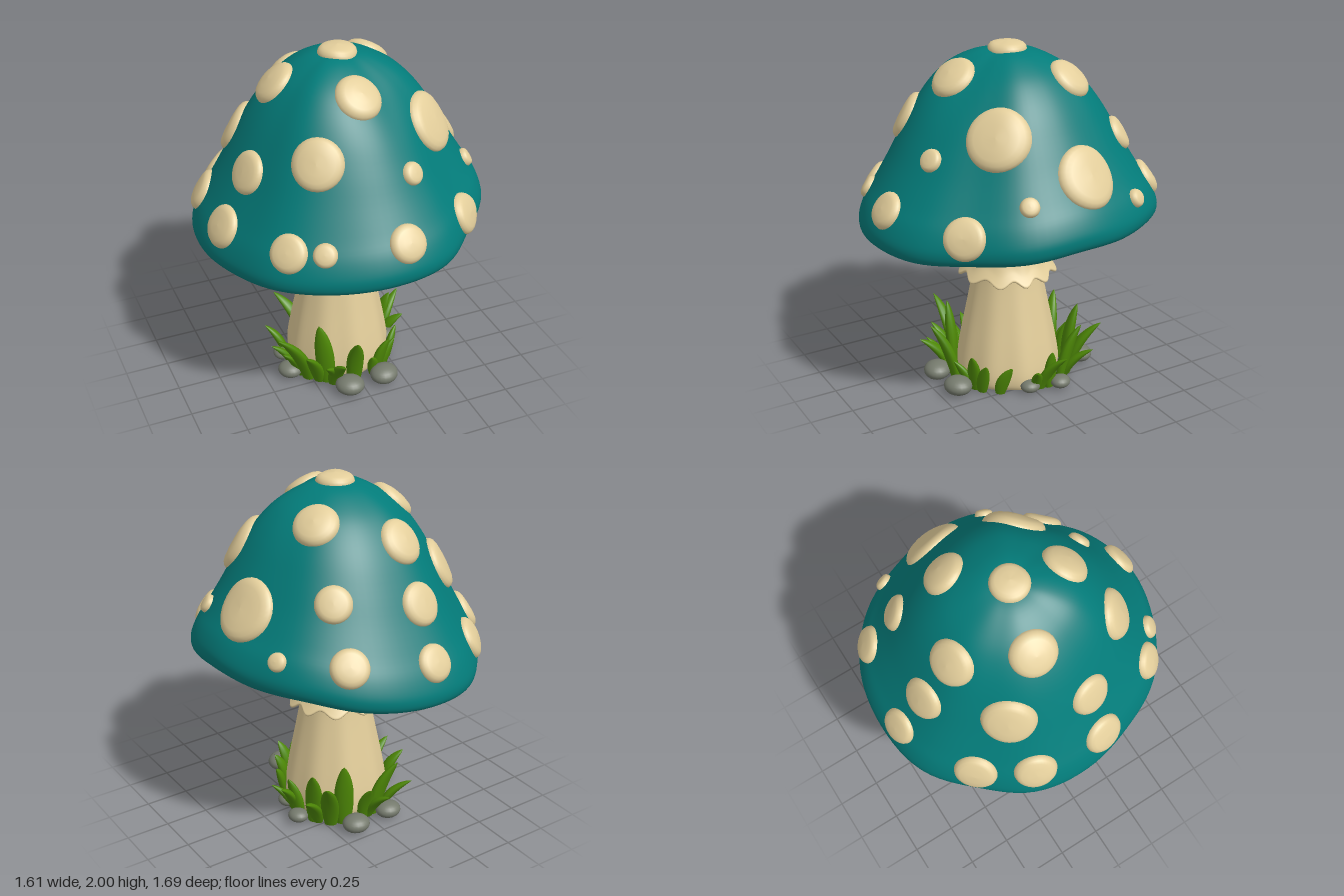
import * as THREE from 'three';

const V3 = THREE.Vector3;
const TAU = Math.PI * 2;
const mat = (name, color) => {
  const m = new THREE.MeshStandardMaterial({ color });
  m.name = name;
  return m;
};

// Smooth surface from cross-section rings, closed around; rings run from top to bottom.
function loft(rings, sides, point) {
  const pos = [], idx = [];
  for (let i = 0; i < rings; i++) {
    for (let j = 0; j < sides; j++) {
      const p = point(i / (rings - 1), (j / sides) * TAU);
      pos.push(p.x, p.y, p.z);
      if (i === rings - 1) continue;
      const a = i * sides + j, b = i * sides + (j + 1) % sides;
      idx.push(a, b, a + sides, b, b + sides, a + sides);
    }
  }
  const g = new THREE.BufferGeometry();
  g.setAttribute('position', new THREE.Float32BufferAttribute(pos, 3));
  g.setIndex(idx);
  g.computeVertexNormals();
  return g;
}

const spline = pts => new THREE.SplineCurve(pts.map(p => new THREE.Vector2(...p)));

// Periodic smooth interpolation of values spread evenly around the circle
function around(values, a) {
  const n = values.length, t = (((a / TAU) % 1) + 1) % 1 * n;
  const i = Math.floor(t), f = t - i, at = k => values[(i + k + n) % n];
  const [p, q, r, s] = [at(-1), at(0), at(1), at(2)];
  return q + 0.5 * f * (r - p + f * (2 * p - 5 * q + 4 * r - s + f * (3 * (q - r) + s - p)));
}

// Uneven cap by direction, from +x towards +z: rim radius, rim lift and swelling halfway up the dome
const RIM = 0.84;
const rimRadius = [.802, .815, .78, .83, .848, .838, .832, .798, .808, .825, .812, .85, .847, .852, .83, .80];
const rimLift = [.13, .10, .065, .045, .045, .025, .005, -.025, -.04, -.04, -.03, -.02, 0, .05, .11, .115];
const swell = [0, 0, -.015, -.045, -.02, .02, .03, .01, 0, 0, 0, 0, 0, 0, 0, 0];

function lift(r, a) {
  const t = r / RIM;
  return around(rimLift, a) * t * t + around(swell, a) * Math.sin(Math.PI * Math.min(1, t)) ** 2;
}

function capPoint(r, y, a) {
  const k = around(rimRadius, a) / RIM;
  return new V3(Math.cos(a) * r * k, y + lift(r, a), Math.sin(a) * r * k);
}

const capProfile = spline([[0, 1.96], [.12, 1.948], [.22, 1.91], [.33, 1.84], [.42, 1.75], [.5, 1.64], [.58, 1.5],
  [.66, 1.35], [.74, 1.21], [.80, 1.11], [.835, 1.02], [.838, .965], [.822, .932], [.795, .922], [.765, .928], [.74, .95]]);
const domeSamples = capProfile.getPoints(150).filter(p => p.y > 1.03);

// Height of the dome above a ground point
function domeY(x, z) {
  const a = Math.atan2(z, x), r = Math.hypot(x, z) * RIM / around(rimRadius, a);
  let i = 1;
  while (i < domeSamples.length - 1 && domeSamples[i].x < r) i++;
  const p = domeSamples[i - 1], q = domeSamples[i];
  return p.y + (q.y - p.y) * (r - p.x) / (q.x - p.x) + lift(r, a);
}

// Raised round spot draped over the dome
const spotProfile = [[0, 1], [.4, .98], [.7, .88], [.86, .7], [.96, .38], [1, 0], [1, -.7]];
function spotGeometry(x, z, radius) {
  const e = 0.02, c = new V3(x, domeY(x, z), z);
  const slope = new V3((domeY(x + e, z) - domeY(x - e, z)) / (2 * e), 0, (domeY(x, z + e) - domeY(x, z - e)) / (2 * e));
  const n = new V3(-slope.x, 1, -slope.z);
  const steep = n.length();
  n.normalize();
  const t = new V3(1, 0, 0).addScaledVector(n, -n.x).normalize();
  const b = new V3().crossVectors(t, n);
  const height = 0.026 + radius * 0.1;
  return loft(spotProfile.length, 32, (u, a) => {
    const [s, h] = spotProfile[Math.round(u * (spotProfile.length - 1))];
    const p = c.clone().addScaledVector(t, Math.cos(a) * s * radius).addScaledVector(b, Math.sin(a) * s * radius);
    for (let k = 0; k < 3; k++) p.addScaledVector(n, THREE.MathUtils.clamp((domeY(p.x, p.z) - p.y) / steep, -.03, .03));
    return p.addScaledVector(n, h * height);
  });
}

// Curved, plump, tapering blade of grass from its tip down to its base
function bladeGeometry([bx, bz, tx, ty, tz]) {
  const base = new V3(bx, 0, bz), tip = new V3(tx, ty, tz);
  const bend = base.clone().lerp(tip, 0.2).setY(ty * 0.62);
  const curve = new THREE.QuadraticBezierCurve3(tip, bend, base);
  const side = new V3(-bz, 0, bx).normalize();
  const width = 0.025 + ty * 0.078;
  return loft(14, 12, (u, a) => {
    const w = width * Math.pow(Math.sin(Math.PI * Math.min(1, u * 0.78)), 0.75);
    const n = new V3().crossVectors(side, curve.getTangent(u).negate()).normalize();
    return curve.getPoint(u).addScaledVector(side, Math.cos(a) * w).addScaledVector(n, Math.sin(a) * w * 0.6);
  });
}

export function createModel() {
  const teal = mat('teal cap', 0x037c7a);
  const cream = mat('cream', 0xe3ce9b);
  const green = mat('grass green', 0x4e8906);
  const grey = mat('stone grey', 0x757a6d);

  const model = new THREE.Group();
  model.name = 'mushroom';
  const group = name => {
    const g = new THREE.Group();
    g.name = name;
    model.add(g);
    return g;
  };
  const add = (name, geometry, material, parent = model) => {
    const m = new THREE.Mesh(geometry, material);
    m.name = name;
    parent.add(m);
    return m;
  };

  // Cap with rolled rim
  add('cap', loft(60, 96, (u, a) => {
    const p = capProfile.getPoint(u);
    return capPoint(Math.max(p.x, 0), p.y, a);
  }), teal);

  // Pleated gills under the cap
  const gillProfile = spline([[.765, .945], [.69, .97], [.55, 1.02], [.4, 1.075], [.27, 1.115], [.16, 1.14]]);
  add('gills', loft(16, 48 * 8, (u, a) => {
    const p = gillProfile.getPoint(u);
    const fold = Math.abs(Math.sin(24 * (a + 0.12 * u))) - 0.5;
    return capPoint(p.x, p.y - fold * 0.036 * Math.sin(Math.PI * (0.08 + 0.88 * u)), a);
  }), cream);

  // Stem, gently fluted towards the foot
  const stemProfile = spline([[.235, 1.17], [.208, 1.11], [.19, 1.03], [.183, .95], [.186, .82], [.194, .7], [.206, .6],
    [.24, .42], [.275, .24], [.297, .1], [.297, .03], [.285, 0]]);
  const flute = (a, y) => 1 + 0.02 * Math.max(0, 1 - y) * (Math.sin(9 * a) + 0.6 * Math.sin(5 * a + 1));
  add('stem', loft(40, 72, (u, a) => {
    const p = stemProfile.getPoint(u), r = p.x * flute(a, p.y);
    return new V3(Math.cos(a) * r, p.y, Math.sin(a) * r);
  }), cream);
  add('stemBase', loft(2, 72, (u, a) => {
    const r = (1 - u) * 0.285 * flute(a, 0);
    return new V3(Math.cos(a) * r, 0, Math.sin(a) * r);
  }), cream);

  // Scalloped skirt around the stem
  const skirtProfile = spline([[.18, .99], [.191, .92], [.202, .85], [.218, .78], [.238, .725], [.262, .685],
    [.275, .664], [.264, .655], [.238, .68], [.185, .73]]);
  add('skirt', loft(30, 110, (u, a) => {
    const p = skirtProfile.getPoint(u);
    const k = THREE.MathUtils.smoothstep(p.x, 0.19, 0.27);
    const wave = Math.sin(11 * a + 0.6 * Math.sin(3 * a));
    const r = p.x + k * 0.012 * wave;
    return new V3(Math.cos(a) * r, p.y - k * 0.018 * wave, Math.sin(a) * r);
  }), cream);

  // Spots: x, z, radius
  const spots = group('spots');
  [[0, 0, .107], [-.34, -.07, .13], [.28, -.23, .125], [-.125, -.435, .13], [-.12, -.615, .12], [-.1, -.775, .105],
    [-.53, -.555, .12], [-.48, -.31, .15], [-.705, -.28, .12], [-.725, .145, .12], [-.57, .14, .12], [-.305, .465, .14],
    [-.015, .33, .13], [.415, .295, .172], [.64, -.11, .175], [.375, -.685, .105], [.35, -.5, .1], [.645, -.425, .052],
    [.665, .25, .053], [.52, .55, .115], [.185, .565, .064], [.07, .78, .105], [-.355, .69, .065], [-.515, .58, .105],
  ].forEach(s => add('spot', spotGeometry(...s), cream, spots));

  // Grass: base x, base z, tip x, tip y, tip z
  const grass = group('grass');
  [[-.27, .2, -.47, .35, .25], [-.18, .27, -.23, .41, .28], [-.03, .33, -.07, .36, .47], [-.12, .32, -.24, .2, .42],
    [-.3, .15, -.42, .2, .2], [-.15, .31, -.16, .24, .5], [-.31, .08, -.45, .19, .08], [-.22, .25, -.33, .24, .34],
    [.13, .29, .19, .24, .34], [.1, .31, .06, .17, .39], [.18, .27, .25, .19, .28], [.25, .19, .32, .18, .15],
    [.31, -.05, .46, .23, -.13], [.32, -.1, .38, .25, -.08], [.31, -.02, .42, .16, .04],
    [.22, -.28, .35, .34, -.43], [.15, -.31, .19, .41, -.37], [.28, -.2, .35, .36, -.29], [.27, -.22, .42, .22, -.33],
    [-.05, -.32, -.15, .35, -.42], [.03, -.33, .05, .24, -.44], [-.13, -.3, -.25, .2, -.43], [-.01, -.33, -.03, .2, -.51],
    [-.31, -.06, -.42, .2, -.12],
  ].forEach(b => add('grassBlade', bladeGeometry(b), green, grass));

  // Stones: x, z, radius
  const stones = group('stones');
  [[.36, -.15, .06], [.14, -.42, .08], [-.1, -.4, .075], [.32, .03, .058], [.13, .4, .085], [-.095, .42, .085],
    [-.36, .14, .072], [-.34, -.04, .06],
  ].forEach(([x, z, r], i) => {
    const stone = add('stone', new THREE.SphereGeometry(1, 20, 14), grey, stones);
    stone.scale.set(r, r * 0.62, r * 0.92);
    stone.position.set(x, r * 0.6, z);
    stone.rotation.y = Math.atan2(x, z) + 0.3 * Math.sin(i * 2.3);
  });

  return model;
}
